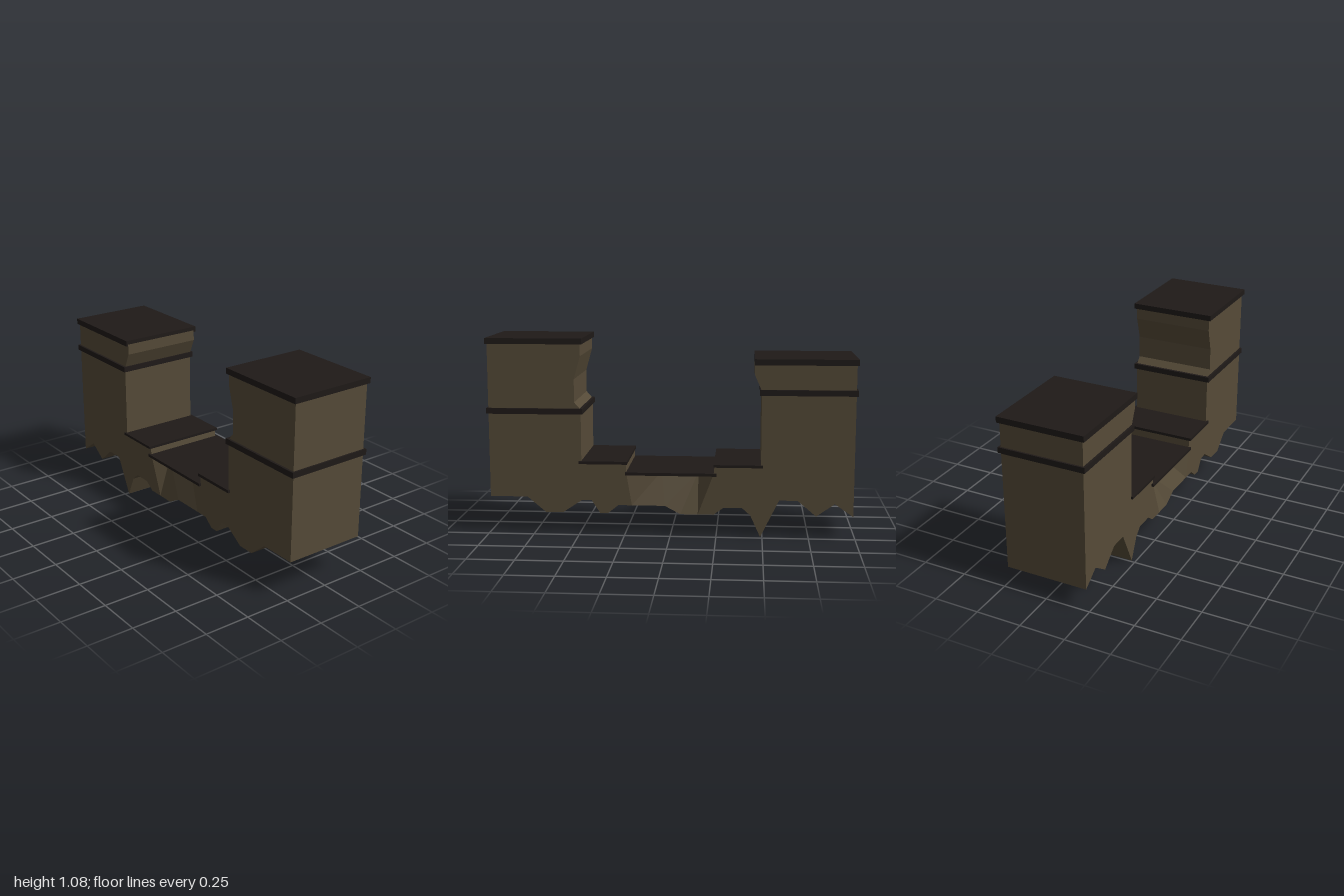
import * as THREE from 'three';

const D = 0.228; // half depth of the masonry
const INSET = 0.07; // depth of the worn dent under the middle coping

const stone = new THREE.MeshStandardMaterial({ color: 0x564b38, flatShading: true });
const trim = new THREE.MeshStandardMaterial({ color: 0x1f1a18, flatShading: true });

// Masonry block: an outline pushed through the full wall depth
function block(name, outline) {
  const shape = new THREE.Shape(outline.map(([x, y]) => new THREE.Vector2(x, y)));
  const geo = new THREE.ExtrudeGeometry(shape, { depth: 2 * D, bevelEnabled: false });
  geo.translate(0, 0, -D);
  const mesh = new THREE.Mesh(geo, stone);
  mesh.name = name;
  return mesh;
}

// Flat dark slab, slightly wider than the masonry
function slab(name, x0, x1, y0, y1) {
  const mesh = new THREE.Mesh(new THREE.BoxGeometry(x1 - x0, y1 - y0, 0.48), trim);
  mesh.position.set((x0 + x1) / 2, (y0 + y1) / 2, 0);
  mesh.name = name;
  return mesh;
}

// Middle wall: full depth along the bottom, dented inwards along the top
function middleWall() {
  const top = [[-0.235, 0.345, D], [-0.15, 0.345, D - INSET], [0.05, 0.345, D - INSET], [0.24, 0.345, D]];
  const bottom = [[-0.15, 0.12, D], [-0.055, 0.12, D], [0.03, 0.165, D], [0.21, 0.165, D]];
  const [t0, t1, t2, t3] = top;
  const [b0, b1, b2, b3] = bottom;
  const back = ([x, y, z]) => [x, y, -z];
  const pos = [];
  const tri = (a, b, c) => pos.push(...a, ...b, ...c);
  // front facets and their mirror at the back
  const facets = [[t0, b0, t1], [t1, b0, b1], [t1, b1, b2], [t1, b2, t2], [t2, b2, b3], [t2, b3, t3]];
  for (const [a, b, c] of facets) {
    tri(a, b, c);
    tri(back(a), back(c), back(b));
  }
  // underside and top strips
  for (let i = 0; i < 3; i++) {
    const [a, b, p, q] = [bottom[i], bottom[i + 1], top[i], top[i + 1]];
    tri(a, back(a), back(b));
    tri(a, back(b), b);
    tri(p, q, back(q));
    tri(p, back(q), back(p));
  }
  const geo = new THREE.BufferGeometry();
  geo.setAttribute('position', new THREE.Float32BufferAttribute(pos, 3));
  geo.computeVertexNormals();
  const mesh = new THREE.Mesh(geo, stone);
  mesh.name = 'middleWall';
  return mesh;
}

export function createModel() {
  const model = new THREE.Group();
  model.name = 'ruinedWall';

  // Short tower with its step and ragged underside
  model.add(block('shortTower', [
    [-0.99, 0.12], [-0.89, 0.19], [-0.79, 0.12], [-0.69, 0.205], [-0.59, 0.205], [-0.49, 0],
    [-0.435, 0.12], [-0.39, 0.16], [-0.29, 0.16], [-0.235, 0.12], [-0.15, 0.12],
    [-0.235, 0.345], [-0.24, 0.39], [-0.49, 0.39], [-0.49, 0.8], [-0.45, 0.89], [-0.45, 0.95], [-0.99, 0.95],
  ]));

  // Tall tower with its step and chipped inner side
  model.add(block('tallTower', [
    [0.21, 0.165], [0.285, 0.165], [0.34, 0.12], [0.385, 0.12], [0.43, 0.19], [0.485, 0.19],
    [0.59, 0.12], [0.685, 0.12], [0.785, 0.205], [0.99, 0.205], [0.99, 1.06], [0.485, 1.06],
    [0.485, 0.98], [0.52, 0.855], [0.52, 0.73], [0.485, 0.69], [0.485, 0.4], [0.24, 0.4], [0.24, 0.345],
  ]));

  model.add(middleWall());

  // Dark copings and bands
  model.add(
    slab('shortTowerCap', -1, -0.45, 0.94, 0.972),
    slab('shortTowerBand', -1, -0.48, 0.777, 0.808),
    slab('shortTowerStep', -0.5, -0.235, 0.384, 0.398),
    slab('middleCoping', -0.25, 0.245, 0.334, 0.35),
    slab('tallTowerStep', 0.235, 0.5, 0.393, 0.409),
    slab('tallTowerBand', 0.475, 1, 0.665, 0.696),
    slab('tallTowerCap', 0.475, 1, 1.044, 1.075),
  );
  return model;
}
